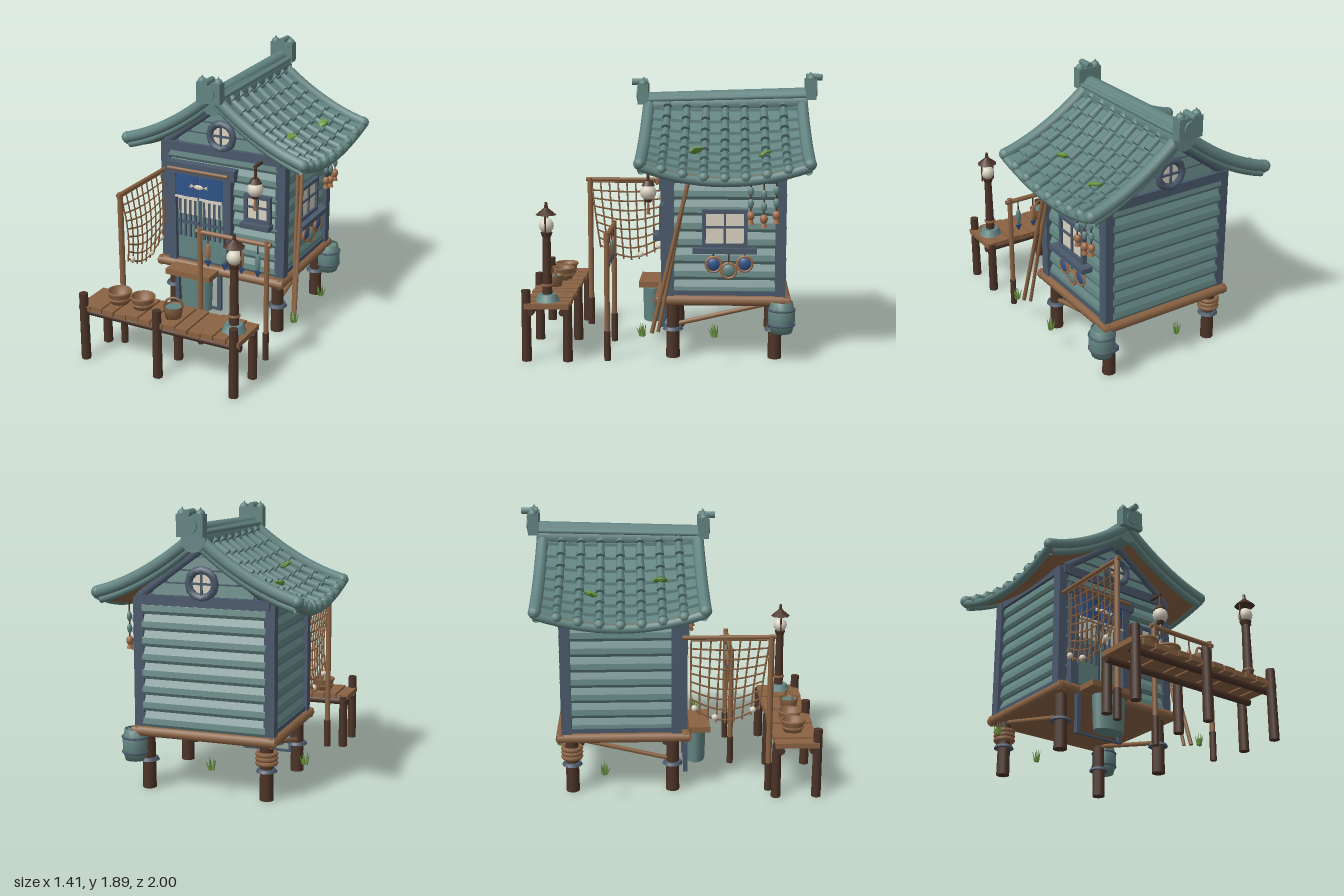
import * as THREE from 'three';

const mat = (name, color) => new THREE.MeshStandardMaterial({ name, color, side: THREE.DoubleSide });
const V = (x, y, z) => new THREE.Vector3(x, y, z);

export function createModel() {
  const teal = mat('weathered teal', 0x628481), slate = mat('slate blue', 0x4a596b), wood = mat('wood', 0x8a6343),
    dark = mat('dark wood', 0x4b3327), cream = mat('cream', 0xd9d2c0), blue = mat('cloth blue', 0x2f5388),
    green = mat('moss green', 0x69963f), copper = mat('copper brown', 0xa06c48);
  const model = new THREE.Group();
  let parent = model;
  const section = (name) => { parent = new THREE.Group(); parent.name = name; model.add(parent); return parent; };
  const add = (name, geo, m, x = 0, y = 0, z = 0, rx = 0, ry = 0, rz = 0) => {
    const o = new THREE.Mesh(geo, m);
    o.name = name; o.position.set(x, y, z); o.rotation.set(rx, ry, rz);
    parent.add(o); return o;
  };
  const box = (name, m, w, h, d, x, y, z, rx, ry, rz) => add(name, new THREE.BoxGeometry(w, h, d), m, x, y, z, rx, ry, rz);
  const cyl = (name, m, rt, rb, h, x, y, z, seg = 10) => add(name, new THREE.CylinderGeometry(rt, rb, h, seg), m, x, y, z);
  const ball = (name, m, r, x, y, z, sx = 1, sy = 1, sz = 1) => {
    const o = add(name, new THREE.SphereGeometry(r, 12, 8), m, x, y, z); o.scale.set(sx, sy, sz); return o;
  };
  const ring = (name, m, r, t, x, y, z, rx = Math.PI / 2, ry = 0, seg = 16) => add(name, new THREE.TorusGeometry(r, t, 6, seg), m, x, y, z, rx, ry);
  const rod = (name, m, a, b, r, r2 = r, seg = 8) => {
    const d = b.clone().sub(a), mid = a.clone().add(b).multiplyScalar(0.5);
    const o = cyl(name, m, r2, r, d.length(), mid.x, mid.y, mid.z, seg);
    o.quaternion.setFromUnitVectors(V(0, 1, 0), d.normalize()); return o;
  };
  const tube = (name, m, pts, r, seg = 14, sides = 8) => add(name, new THREE.TubeGeometry(new THREE.CatmullRomCurve3(pts), seg, r, sides), m);
  const CZ = -0.345;

  // Stilts, waterline collars, floor and braces
  section('foundation');
  for (const x of [-0.41, 0.41]) {
    for (const z of [0, -0.68]) {
      cyl('stilt', dark, 0.042, 0.046, 0.38, x, 0.19, z);
      cyl('collar', slate, 0.06, 0.07, 0.02, x, 0.2, z);
    }
    rod('brace', wood, V(x, 0.23, -0.04), V(x, 0.37, -0.63), 0.016);
    rod('floorEdge', wood, V(x * 1.14, 0.4, 0.11), V(x * 1.14, 0.4, -0.77), 0.034);
  }
  for (const z of [0.09, -0.75]) rod('floorEdge', wood, V(-0.49, 0.4, z), V(0.49, 0.4, z), 0.034);
  box('floor', wood, 0.94, 0.05, 0.86, 0, 0.4, -0.335);
  for (const y of [0.25, 0.28, 0.31]) ring('ropeCoil', wood, 0.06, 0.016, -0.41, y, -0.68);
  box('doorStep', wood, 0.35, 0.04, 0.18, -0.17, 0.4, 0.17);
  cyl('waterTub', teal, 0.125, 0.115, 0.24, -0.145, 0.245, 0.165, 16).scale.z = 0.6;
  for (const x of [-0.34, 0]) box('stepFrame', slate, 0.03, 0.28, 0.03, x, 0.24, 0.09);
  box('stepRail', slate, 0.34, 0.015, 0.02, -0.17, 0.105, 0.09);
  add('barrel', new THREE.LatheGeometry([[0, 0], [0.07, 0], [0.088, 0.07], [0.088, 0.14], [0.072, 0.21], [0.06, 0.195], [0, 0.195]].map(p => new THREE.Vector2(...p)), 14), teal, 0.49, 0.195, -0.72);
  for (const y of [0.25, 0.35]) ring('barrelHoop', slate, 0.087, 0.007, 0.49, y, -0.72);

  // Lapped wall boards: a bulging section run along each wall
  section('walls');
  box('wallCore', teal, 0.84, 0.88, 0.73, 0, 0.85, CZ);
  const board = (len, h, y, angle, dist) => {
    const s = new THREE.Shape([[0, 0], [0.03, 0], [0.042, 0.2], [0.036, 0.55], [0.012, 1], [0, 1]].map(([x, t]) => new THREE.Vector2(x, t * h)));
    const g = new THREE.ExtrudeGeometry(s, { depth: len, bevelEnabled: false });
    g.translate(dist, 0, -len / 2);
    add('wallBoard', g, teal, 0, y, CZ, 0, angle, 0);
  };
  for (let i = 0; i < 8; i++) for (let k = 0; k < 4; k++)
    board(k % 2 ? 0.84 : 0.73, 0.107, 0.43 + i * 0.107, k * Math.PI / 2, k % 2 ? 0.365 : 0.42);
  for (const x of [-0.445, 0.445]) {
    for (const z of [0.025, -0.71]) box('cornerPost', slate, 0.07, 0.86, 0.07, x, 0.86, z);
    box('wallPlate', slate, 0.05, 0.05, 0.76, x, 1.28, CZ);
    box('sillBeam', slate, 0.03, 0.03, 0.7, x * 1.02, 0.45, CZ);
  }

  // A paned window facing +z, used on the walls
  const windowAt = (x, y, z, ry, w, h) => {
    const old = parent, g = section('window');
    box('pane', cream, w, h, 0.008, 0, 0, 0.006);
    for (const s of [-1, 1]) {
      box('frameSide', slate, 0.025, h + 0.05, 0.035, s * (w / 2 + 0.012), 0, 0.01);
      box('frameRail', slate, w, 0.025, 0.035, 0, s * (h / 2 + 0.012), 0.01);
    }
    box('muntin', slate, 0.014, h, 0.02, 0, 0, 0.012);
    box('muntin', slate, w, 0.014, 0.02, 0, 0.01, 0.012);
    box('sill', slate, w + 0.17 * (w > 0.2 ? 1 : 0.4), 0.035, 0.08, 0, -h / 2 - 0.042, 0.03);
    g.position.set(x, y, z); g.rotation.y = ry; parent = old;
  };
  windowAt(0.285, 0.92, 0.065, 0, 0.15, 0.15);
  windowAt(0.465, 0.885, -0.343, Math.PI / 2, 0.25, 0.2);

  // Gables with round windows, the same at both ends
  for (const end of [1, -1]) {
    const g = section(end > 0 ? 'frontGable' : 'backGable');
    const tri = new THREE.Shape([new THREE.Vector2(-0.44, 1.27), new THREE.Vector2(0.44, 1.27), new THREE.Vector2(0, 1.63)]);
    add('gablePanel', new THREE.ExtrudeGeometry(tri, { depth: 0.03, bevelEnabled: false }), teal, 0, 0, 0.335);
    for (let i = 0; i < 3; i++) {
      const len = 0.68 - i * 0.2;
      add('gableBoard', new THREE.BoxGeometry(len, 0.075, 0.03), teal, 0, 1.345 + i * 0.085, 0.375, -0.15);
      box('gableSeam', slate, len + 0.06, 0.012, 0.03, 0, 1.305 + i * 0.085, 0.375);
    }
    box('tieBeam', slate, 0.9, 0.065, 0.07, 0, 1.275, 0.385);
    for (const s of [-1, 1]) rod('gableRafter', slate, V(s * 0.43, 1.3, 0.385), V(0, 1.62, 0.385), 0.03, 0.03, 6);
    add('roundPane', new THREE.CircleGeometry(0.08, 20), cream, 0, 1.393, 0.41);
    ring('roundFrame', slate, 0.09, 0.026, 0, 1.393, 0.41, 0, 0, 12);
    box('roundMuntin', slate, 0.014, 0.16, 0.014, 0, 1.393, 0.415);
    box('roundMuntin', slate, 0.16, 0.014, 0.014, 0, 1.393, 0.415);
    g.position.z = CZ; g.rotation.y = end > 0 ? 0 : Math.PI;
  }

  // Swept roof: s runs ridge to eave, v runs back to front
  section('roof');
  const roofAt = (side, s, v, lift = 0) => V(side * s * (0.645 + 0.02 * v * v), 1.71 - 0.58 * s + 0.2 * s * s - 0.1 * s * (1 - v * v) + lift, -0.34 + v * (0.52 + 0.02 * s));
  const sheet = (name, m, side, rows) => {
    const n = 16, pos = [], idx = [];
    rows.forEach(([s, lift], r) => {
      for (let j = 0; j <= n; j++) {
        pos.push(...roofAt(side, s, j / n * 2 - 1, lift).toArray());
        if (r && j) { const a = r * (n + 1) + j, b = a - n - 1; idx.push(b - 1, a - 1, b, b, a - 1, a); }
      }
    });
    const g = new THREE.BufferGeometry();
    g.setAttribute('position', new THREE.Float32BufferAttribute(pos, 3));
    g.setIndex(side > 0 ? idx : idx.reverse());
    const flat = g.toNonIndexed(); flat.computeVertexNormals();
    add(name, flat, m);
  };
  const courses = 8, along = Array.from({ length: 11 }, (_, i) => i / 10);
  for (const side of [-1, 1]) {
    const steps = [];
    for (let i = 0; i < courses; i++) steps.push([i / courses, -0.005], [(i + 1) / courses, 0.015]);
    sheet('panTiles', teal, side, steps);
    sheet('roofUnderside', wood, side, along.map(s => [s, -0.045]));
    for (let j = 1; j < 8; j++) {
      const v = (j - 4) / 4;
      for (let i = 0; i < courses; i++)
        rod('ridgeTile', teal, roofAt(side, i / courses, v, 0.01), roofAt(side, (i + 1) / courses, v, 0.02), 0.022, 0.031, 8);
      ball('tileCap', teal, 0.036, ...roofAt(side, 1, v, 0.005).toArray());
    }
    tube('eaveRoll', teal, along.map(t => roofAt(side, 1, t * 2 - 1, -0.02)), 0.03);
    for (const v of [-1, 1]) {
      tube('bargeRoll', teal, along.map(s => roofAt(side, s, v)), 0.04);
      tube('bargeTrim', teal, along.map(s => roofAt(side, s * 0.98, v * 0.985, -0.05)), 0.026);
      ball('bargeEnd', teal, 0.041, ...roofAt(side, 1, v).toArray());
    }
  }
  for (const [x, z] of [[-0.43, -0.53], [-0.34, -0.08], [0.46, -0.6], [0.42, -0.15]]) {
    const p = roofAt(Math.sign(x), Math.abs(x) / 0.65, (z + 0.34) / 0.53, 0.03);
    const o = add('mossPatch', new THREE.IcosahedronGeometry(0.05, 0), green, p.x, p.y, z, 0, x * 9, -Math.sign(x) * 0.5);
    o.scale.set(0.9, 0.4, 1.15);
  }

  // Ridge roll and end ornaments
  section('ridge');
  rod('ridgeBase', teal, V(0, 1.655, 0.2), V(0, 1.685, -0.9), 0.082, 0.082, 12);
  rod('ridgeRoll', teal, V(0, 1.7, 0.2), V(0, 1.735, -0.9), 0.05, 0.05, 10);
  for (const s of [-1, 1]) rod('ridgeBead', teal, V(s * 0.065, 1.70, 0.2), V(s * 0.065, 1.73, -0.9), 0.016);
  for (const [y, z, d] of [[1.74, 0.22, 1], [1.775, -0.92, -1]]) {
    box('ridgeEnd', teal, 0.175, 0.14, 0.07, 0, y, z);
    rod('ridgeDisc', teal, V(0, y, z), V(0, y, z + d * 0.045), 0.055, 0.05, 16);
    rod('ridgeHorn', teal, V(0, y + 0.08, z - d * 0.03), V(0, y + 0.08, z + d * 0.08), 0.024, 0.022);
    for (const x of [-0.06, 0.06]) {
      ball('ridgeKnob', teal, 0.03, x, y + 0.07, z);
      cyl('ridgePoint', teal, 0, 0.022, 0.04, x, y + 0.095, z, 6);
    }
  }

  // Entrance: framed double door with a split curtain
  section('entrance');
  for (const x of [-0.375, 0.06]) box('doorPost', slate, 0.06, 0.68, 0.06, x, 0.77, 0.07);
  box('doorLintel', slate, 0.54, 0.08, 0.07, -0.15, 1.13, 0.075);
  rod('curtainRod', wood, V(-0.39, 1.13, 0.125), V(0.08, 1.13, 0.125), 0.013);
  box('doorBack', slate, 0.38, 0.68, 0.02, -0.157, 0.77, 0.058);
  for (const c of [-0.253, -0.062]) {
    box('doorLeaf', teal, 0.165, 0.44, 0.02, c, 0.67, 0.07);
    box('doorGlass', cream, 0.15, 0.13, 0.008, c, 0.855, 0.084);
    box('doorRail', slate, 0.17, 0.022, 0.014, c, 0.73, 0.086);
    for (let i = 0; i < 4; i++) box('doorBar', slate, 0.014, 0.28, 0.014, c - 0.06 + i * 0.04, 0.76, 0.088);
    const cloth = add('curtain', new THREE.CylinderGeometry(0.1, 0.1, 0.18, 8, 1, true, -1.1, 2.2), blue, c, 1.02, 0.075);
    cloth.scale.set(1.04, 1, 0.35);
    box('curtainHem', cream, 0.175, 0.014, 0.008, c, 0.924, 0.11);
  }
  ball('curtainFish', cream, 0.025, -0.15, 1.015, 0.118, 1.5, 0.7, 0.3);
  for (const x of [-0.2, -0.1]) add('curtainFishFin', new THREE.ConeGeometry(0.02, 0.03, 3), cream, x, 1.015, 0.116, 0, 0, x < -0.15 ? -1.57 : 1.57);

  // Hanging lantern by the front window
  section('lantern');
  rod('lanternArm', dark, V(0.31, 1.26, 0.03), V(0.31, 1.26, 0.18), 0.012);
  rod('lanternCord', dark, V(0.31, 1.26, 0.17), V(0.31, 1.17, 0.17), 0.01);
  cyl('lanternCap', dark, 0.025, 0.045, 0.035, 0.31, 1.16, 0.17);
  ball('lanternGlobe', cream, 0.055, 0.31, 1.1, 0.17);
  cyl('lanternFoot', dark, 0.03, 0.02, 0.025, 0.31, 1.045, 0.17);
  cyl('lanternTassel', copper, 0.006, 0.014, 0.08, 0.31, 0.99, 0.17, 6);

  // Side wall: floats on hooks, garlands and leaning poles
  section('sideDecor');
  [[-0.27, 0.65, blue], [-0.37, 0.61, teal], [-0.475, 0.655, blue]].forEach(([z, y, m]) => {
    ring('floatRing', copper, 0.05, 0.009, 0.5, y, z, 0, Math.PI / 2);
    ball('float', m, 0.046, 0.495, y, z, 0.45, 1, 1);
    rod('floatHook', dark, V(0.5, y + 0.05, z), V(0.5, 0.74, z), 0.005);
  });
  for (const [z, y] of [[-0.51, 0.98], [-0.595, 0.96], [-0.675, 0.985]]) {
    rod('garlandCord', dark, V(0.54, y, z), V(0.54, 1.25, z), 0.005);
    for (const h of [0.08, 0.16]) ball('garlandFish', teal, 0.02, 0.54, y + h, z, 0.8, 1.6, 1);
    ball('garlandGourd', copper, 0.026, 0.54, y, z, 0.9, 1.2, 1);
    cyl('garlandTip', copper, 0.01, 0.022, 0.04, 0.54, y - 0.035, z, 6);
  }
  rod('leaningPole', wood, V(0.6, 0.21, 0.13), V(0.53, 1.22, -0.11), 0.014);
  rod('leaningPole', wood, V(0.57, 0.21, 0.09), V(0.5, 1.2, -0.1), 0.012);

  // Dock with piles, baskets, bucket and lamp
  section('dock');
  for (let i = 0; i < 13; i++) box('dockPlank', wood, 0.084, 0.035, 0.295 + (i * 7 % 3) * 0.006, -0.552 + i * 0.092, 0.375 + (i * 5 % 3) * 0.004, 0.825);
  for (const z of [0.72, 0.93]) rod('dockBeam', dark, V(-0.59, 0.335, z), V(0.59, 0.335, z), 0.024);
  for (const x of [-0.56, 0, 0.555]) {
    cyl('frontPile', dark, 0.03, 0.033, 0.48, x, 0.24, 0.963, 8);
    cyl('backPile', dark, 0.03, 0.033, 0.38, x, 0.19, 0.69, 8);
  }
  const basketProfile = [[0, 0], [0.06, 0], [0.08, 0.085], [0.068, 0.085], [0.052, 0.02], [0, 0.02]].map(p => new THREE.Vector2(...p));
  for (const x of [-0.37, -0.19]) {
    add('basket', new THREE.LatheGeometry(basketProfile, 14), wood, x, 0.393, 0.82);
    for (const [r, y] of [[0.077, 0.475], [0.07, 0.43]]) ring('basketBand', wood, r, 0.009, x, y, 0.82);
  }
  add('bucket', new THREE.LatheGeometry(basketProfile, 14), wood, 0.06, 0.393, 0.85).scale.set(0.85, 1, 0.85);
  cyl('bucketWater', teal, 0.055, 0.055, 0.008, 0.06, 0.465, 0.85, 14);
  add('bucketHandle', new THREE.TorusGeometry(0.06, 0.008, 6, 12, Math.PI), wood, 0.06, 0.475, 0.85, 0, 0.35);
  cyl('lampBase', teal, 0.06, 0.085, 0.05, 0.49, 0.415, 0.83, 8);
  cyl('lampPost', dark, 0.027, 0.033, 0.4, 0.49, 0.63, 0.83, 8);
  ring('lampRope', wood, 0.032, 0.01, 0.49, 0.5, 0.83);
  cyl('lampCup', dark, 0.04, 0.03, 0.03, 0.49, 0.84, 0.83, 8);
  ball('lampGlobe', cream, 0.05, 0.49, 0.9, 0.83);
  for (const x of [-0.045, 0.045]) rod('lampStay', dark, V(0.49 + x, 0.84, 0.83), V(0.49 + x, 0.98, 0.83), 0.006);
  cyl('lampRoof', dark, 0.01, 0.07, 0.05, 0.49, 0.995, 0.83, 8);
  cyl('lampTip', dark, 0.008, 0.014, 0.04, 0.49, 1.035, 0.83, 6);

  // Fish drying rack
  section('dryingRack');
  for (const x of [0.03, 0.525]) {
    rod('rackPost', wood, V(x, 0.2, 0.43), V(x, 0.86, 0.43), 0.018);
    rod('rackFoot', dark, V(x, 0, 0.43), V(x, 0.2, 0.43), 0.022);
  }
  rod('rackRail', wood, V(0, 0.835, 0.43), V(0.555, 0.835, 0.43), 0.017);
  [0.09, 0.215, 0.34, 0.46].forEach((x, i) => {
    rod('fishCord', dark, V(x, 0.75, 0.43), V(x, 0.84, 0.43), 0.005);
    ball('fishBody', i % 2 ? teal : copper, 0.024, x, 0.7, 0.43, 0.8, 2.6, 0.6);
    cyl('fishTail', blue, 0.026, 0.004, 0.045, x, 0.615, 0.43, 4).scale.z = 0.4;
  });

  // Fishing net slung from a pole to the house
  section('net');
  rod('netPole', wood, V(-0.45, 0.2, 0.65), V(-0.45, 1.1, 0.65), 0.02);
  rod('netPoleFoot', dark, V(-0.45, 0, 0.65), V(-0.45, 0.2, 0.65), 0.025);
  rod('netRail', wood, V(-0.45, 1.09, 0.68), V(-0.45, 1.09, 0.06), 0.015);
  const netAt = (u, t) => V(-0.45 + 0.025 * Math.sin(t * 3), 1.07 - t * 0.47 - 0.09 * t * Math.sin(u * Math.PI), 0.64 - u * 0.52 - 0.06 * t * (1 - u));
  for (let i = 0; i <= 8; i++) tube('netCord', wood, along.map(t => netAt(i / 8, t * 1.04)), 0.006, 10, 4);
  for (let i = 0; i <= 8; i++) tube('netCord', wood, along.map(u => netAt(u, i / 8)), 0.006, 10, 4);
  for (const u of [0.1, 0.65, 0.95]) ball('netFloat', cream, 0.022, ...netAt(u, 0.98).toArray());

  // Grass tufts at the waterline
  section('grass');
  for (const [x, z] of [[0.62, 0.19], [0.62, -0.28], [-0.6, -0.46], [-0.07, -0.78]])
    for (let i = 0; i < 7; i++) {
      const a = i * 2.4, l = 0.012 + 0.005 * i;
      rod('grassBlade', green, V(x + Math.cos(a) * 0.012, 0.195, z + Math.sin(a) * 0.012), V(x + Math.cos(a) * l, 0.285 - i * 0.006, z + Math.sin(a) * l), 0.009, 0.001, 4);
    }

  return model;
}
